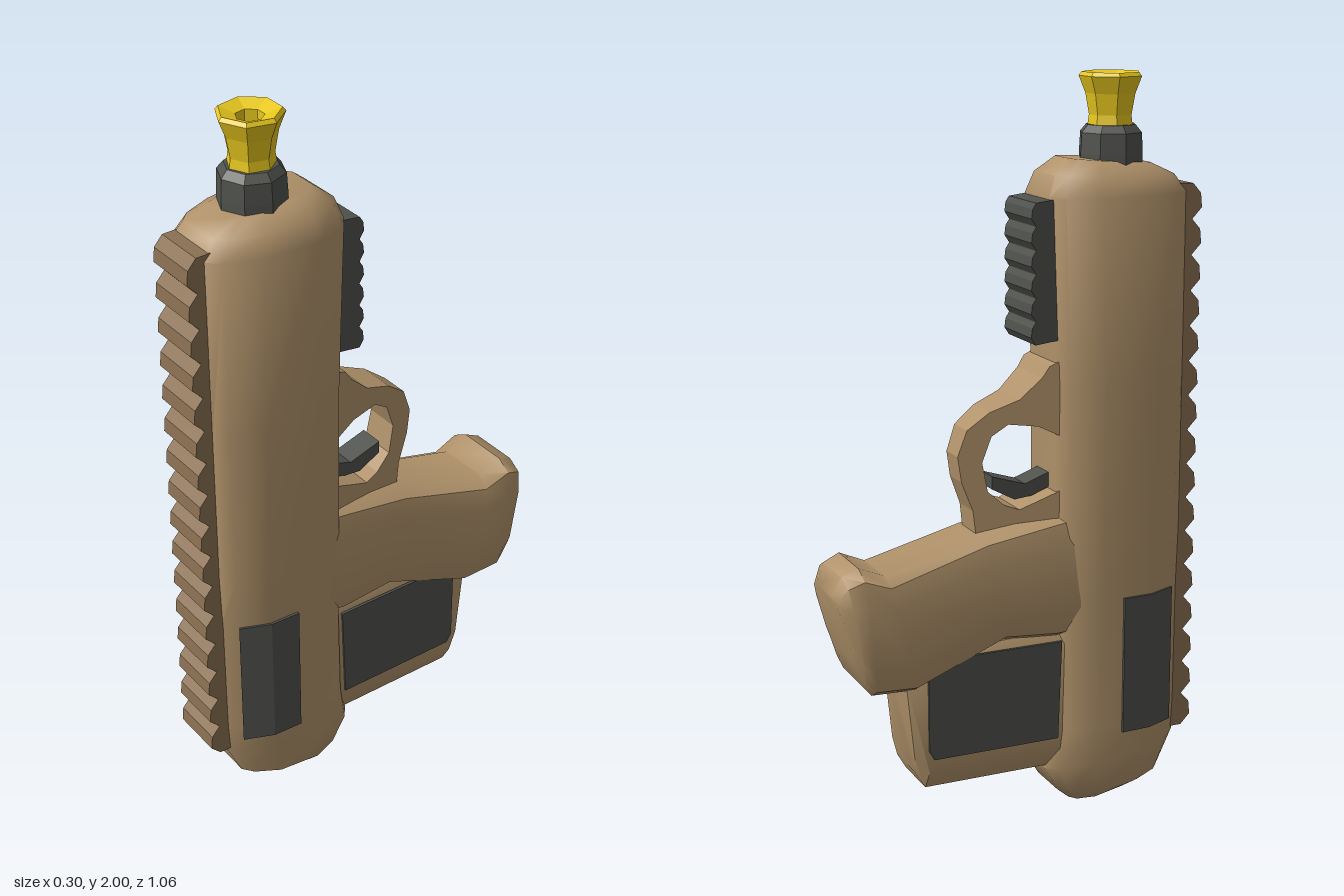
import * as THREE from 'three';
import { toCreasedNormals } from 'three/addons/utils/BufferGeometryUtils.js';

const mat = (name, color) => {
  const m = new THREE.MeshStandardMaterial({ color });
  m.name = name;
  return m;
};

// Loft of mirrored sections. Station: [zA, yA, zB, yB, halfWidth];
// profile: [width fraction, position from A to B] pairs.
function loft(stations, profile, crease = 0.75) {
  const pos = [], idx = [], n = profile.length * 2;
  const ringShape = [...profile, ...profile.map(([w, t]) => [-w, t]).reverse()];
  for (const [zA, yA, zB, yB, hw] of stations) {
    for (const [w, t] of ringShape) pos.push(w * hw, yA + (yB - yA) * t, zA + (zB - zA) * t);
  }
  for (let i = 0; i < stations.length - 1; i++) {
    for (let j = 0; j < n; j++) {
      const a = i * n + j, b = i * n + (j + 1) % n;
      idx.push(a, b, b + n, a, b + n, a + n);
    }
  }
  // End caps
  const last = (stations.length - 1) * n;
  for (let j = 1; j < n - 1; j++) {
    idx.push(0, j + 1, j, last, last + j, last + j + 1);
  }
  const g = new THREE.BufferGeometry();
  g.setAttribute('position', new THREE.Float32BufferAttribute(pos, 3));
  g.setIndex(idx);
  return toCreasedNormals(g, crease);
}

const toShape = (pts) => new THREE.Shape(pts.map(([a, b]) => new THREE.Vector2(a, b)));

// Side outline of [z, y] points, extruded across x and centred on xMid
function sideExtrude(pts, width, xMid = 0, hole = null) {
  const s = toShape(pts);
  if (hole) s.holes.push(new THREE.Path(hole.map(([a, b]) => new THREE.Vector2(a, b))));
  const g = new THREE.ExtrudeGeometry(s, { depth: width, bevelEnabled: false });
  return g.rotateY(-Math.PI / 2).translate(xMid + width / 2, 0, 0);
}

export function createModel() {
  const group = new THREE.Group();
  const tan = mat('tan', 0xb0926a);
  const railBrown = mat('rail brown', 0x8a7052);
  const dark = mat('dark grey', 0x50524d);
  const yellow = mat('yellow', 0xe8c81e);
  const add = (name, geo, material) => {
    const m = new THREE.Mesh(geo, material);
    m.name = name;
    group.add(m);
    return m;
  };

  // Main body, standing on its rear end
  const round = [[0.5, 0], [0.72, 0.08], [0.97, 0.3], [1, 0.7], [0.77, 0.93], [0.5, 1]];
  add('body', loft([
    [0.36, 0.035, 0.16, 0.0, 0.1],
    [0.43, 0.06, 0.12, 0.035, 0.13],
    [0.475, 0.16, 0.075, 0.11, 0.137],
    [0.48, 0.25, 0.09, 0.22, 0.137],
    [0.48, 0.6, 0.1, 0.6, 0.14],
    [0.48, 0.76, 0.1, 0.76, 0.15],
    [0.48, 1.2, 0.1, 1.2, 0.152],
    [0.48, 1.69, 0.08, 1.69, 0.15],
    [0.45, 1.735, 0.1, 1.745, 0.125],
    [0.39, 1.765, 0.15, 1.785, 0.08],
  ], round), tan);

  // Grip with a flared butt
  const gripSection = [[0.55, 0], [0.88, 0.07], [1, 0.25], [1, 0.75], [0.88, 0.93], [0.55, 1]];
  add('grip', loft([
    [0.2, 0.86, 0.2, 0.5, 0.12],
    [0.09, 0.845, 0.1, 0.49, 0.12],
    [-0.11, 0.81, -0.05, 0.505, 0.118],
    [-0.39, 0.735, -0.31, 0.405, 0.132],
    [-0.46, 0.765, -0.43, 0.41, 0.137],
    [-0.505, 0.745, -0.455, 0.44, 0.13],
    [-0.53, 0.695, -0.48, 0.51, 0.1],
  ], gripSection), tan);

  // Box-shaped rear block below the grip
  const boxy = [[0.8, 0], [1, 0.1], [1, 0.86], [0.7, 1]];
  add('rearBlock', loft([
    [0.16, 0.52, 0.16, 0.12, 0.102],
    [-0.27, 0.5, -0.28, 0.12, 0.102],
    [-0.34, 0.47, -0.31, 0.17, 0.085],
  ], boxy, 0.6), tan);

  // Trigger guard, narrowing away from the body
  const guard = sideExtrude(
    [[0.15, 1.28], [0.08, 1.25], [0.06, 1.22], [0, 1.165], [-0.08, 1.135], [-0.14, 1.09], [-0.165, 1.02],
      [-0.155, 0.95], [-0.125, 0.87], [-0.115, 0.78], [0.15, 0.8]], 2, 0,
    [[0.11, 1.06], [0.05, 1.09], [-0.03, 1.1], [-0.075, 1.07], [-0.1, 1], [-0.085, 0.92], [-0.04, 0.88],
      [0, 0.865], [0.05, 0.885], [0.11, 0.91]]);
  const gp = guard.attributes.position;
  for (let i = 0; i < gp.count; i++) {
    gp.setX(i, gp.getX(i) * THREE.MathUtils.mapLinear(gp.getZ(i), -0.165, 0.15, 0.038, 0.095));
  }
  guard.computeVertexNormals();
  add('triggerGuard', guard, tan);

  add('trigger', sideExtrude([[0.13, 0.96], [0.03, 0.925], [-0.065, 0.955], [-0.065, 0.92], [0, 0.885],
    [0.05, 0.89], [0.13, 0.92]], 0.07), dark);

  // Toothed rail along the front
  const teeth = 16, y0 = 0.17, y1 = 1.71, step = (y1 - y0) / teeth;
  const rail = [[0.45, y1], [0.45, y0]];
  for (let i = 0; i < teeth; i++) {
    const y = y0 + i * step;
    rail.push([0.502, y], [0.53, y + step * 0.3], [0.526, y + step * 0.7], [0.502, y + step * 0.98]);
  }
  add('rail', sideExtrude(rail, 0.15), railBrown);

  // Ribbed dark block near the muzzle
  const ribs = [[0.12, 1.69], [0.12, 1.32]];
  for (let i = 0; i < 6; i++) {
    const y = 1.31 + i * 0.062;
    ribs.push([0.038, y], [0.025, y + 0.02], [0.028, y + 0.045], [0.038, y + 0.06]);
  }
  add('foreBlock', sideExtrude(ribs, 0.17), dark);

  // Dark panels on both sides
  for (const s of [1, -1]) {
    const side = s > 0 ? 'left' : 'right';
    add(side + 'RearPanel', sideExtrude([[0.11, 0.49], [0.1, 0.21], [-0.265, 0.21], [-0.28, 0.235],
      [-0.28, 0.49]], 0.008, s * 0.103), dark);
    const strip = [[0.102, 0.442], [0.134, 0.363], [0.138, 0.28], [0.146, 0.28], [0.142, 0.365], [0.108, 0.446]];
    const g = new THREE.ExtrudeGeometry(toShape(strip.map(([x, z]) => [s * x, -z])),
      { depth: 0.39, bevelEnabled: false });
    add(side + 'BodyPanel', g.rotateX(-Math.PI / 2).translate(0, 0.21, 0), dark);
  }

  // Muzzle collar and flared hollow tip
  const faceted = (g) => {
    const f = g.toNonIndexed();
    f.computeVertexNormals();
    return f;
  };
  const cz = 0.293;
  add('collar', faceted(new THREE.LatheGeometry([[0.088, 1.74], [0.088, 1.79], [0.085, 1.845], [0.068, 1.865],
    [0, 1.865]].map(([r, y]) => new THREE.Vector2(r, y)), 8)).translate(0, 0, cz), dark);
  add('muzzleTip', faceted(new THREE.LatheGeometry([[0.062, 1.86], [0.058, 1.89], [0.068, 1.945], [0.086, 1.99],
    [0.078, 2], [0.036, 1.985], [0.034, 1.9]].map(([r, y]) => new THREE.Vector2(r, y)), 7))
    .translate(0, 0, cz), yellow);
  add('bore', new THREE.CylinderGeometry(0.034, 0.034, 0.06, 7).translate(0, 1.92, cz), dark);

  return group;
}
